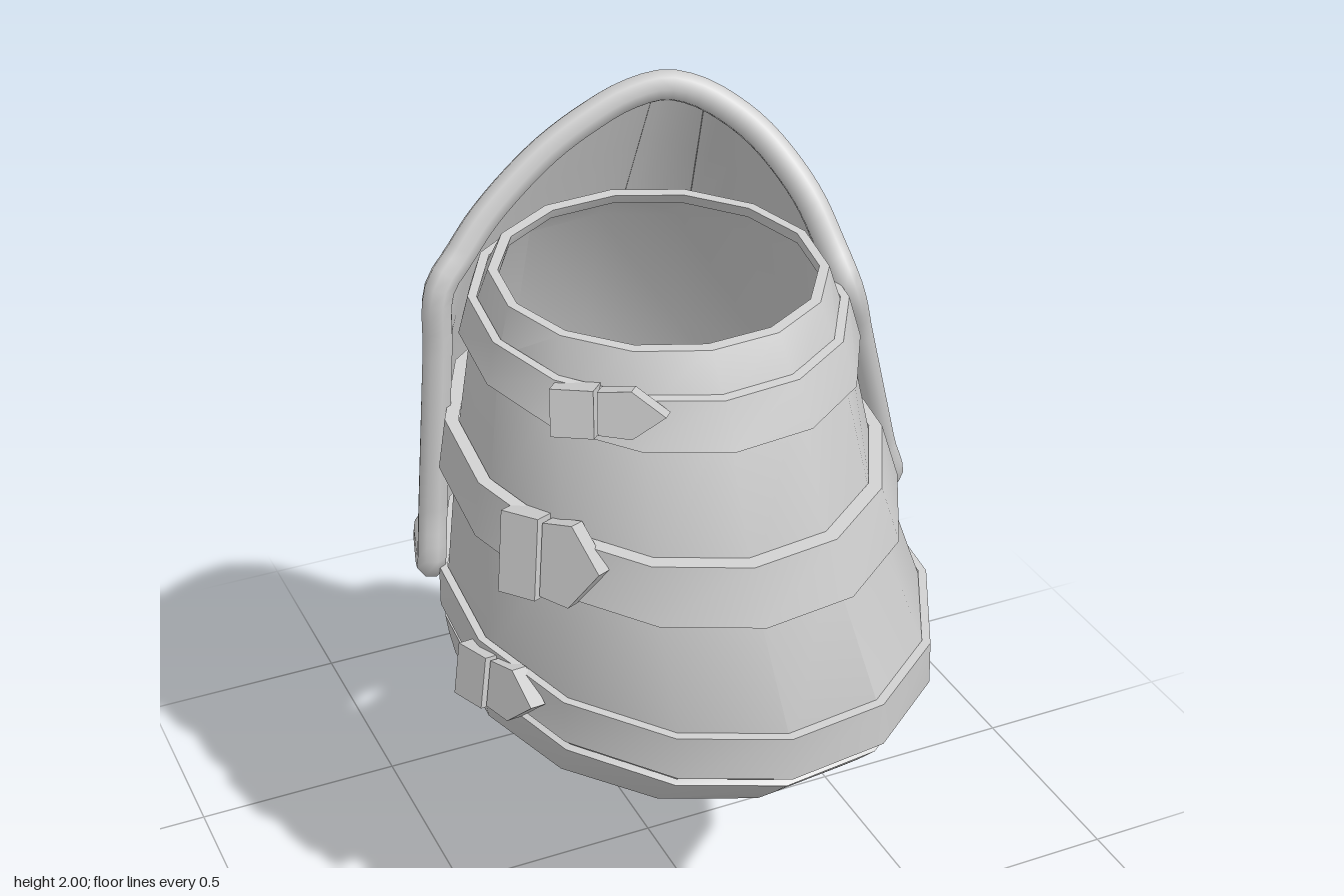
import * as THREE from 'three';
import { toCreasedNormals } from 'three/addons/utils/BufferGeometryUtils.js';

const V = (x, y, z) => new THREE.Vector3(x, y, z);
const material = new THREE.MeshStandardMaterial({ color: 0xcccccc, side: THREE.DoubleSide });

function add(parent, name, geometry) {
  const mesh = new THREE.Mesh(geometry, material);
  mesh.name = name;
  parent.add(mesh);
  return mesh;
}

// Surface from P(u, v), optionally closed around u
function grid(P, nu, nv, closed = false) {
  const pos = [], idx = [], cols = closed ? nu : nu + 1;
  for (let j = 0; j <= nv; j++)
    for (let i = 0; i < cols; i++) pos.push(...P(i / nu, j / nv).toArray());
  for (let j = 0; j < nv; j++)
    for (let i = 0; i < nu; i++) {
      const a = j * cols + i, b = j * cols + (i + 1) % cols;
      idx.push(a, a + cols, b, b, a + cols, b + cols);
    }
  const g = new THREE.BufferGeometry();
  g.setAttribute('position', new THREE.Float32BufferAttribute(pos, 3));
  g.setIndex(idx);
  g.computeVertexNormals();
  return g;
}

// Row of a table at fractional index s, straight or smooth
function sample(rows, s, smooth = false) {
  const at = k => rows[Math.max(0, Math.min(rows.length - 1, k))];
  const i = Math.min(Math.floor(s), rows.length - 2), t = s - i;
  const [A, B, C, D] = [at(i - 1), at(i), at(i + 1), at(i + 2)];
  return B.map((b, k) => {
    const a = A[k], c = C[k], d = D[k];
    if (!smooth) return b + (c - b) * t;
    return 0.5 * (2 * b + (c - a) * t + (2 * a - 5 * b + 4 * c - d) * t * t + (3 * b - a - 3 * c + d) * t ** 3);
  });
}

// Sleeve rings: centre y, centre x, radius x, centre z, radius z, tilt
const RINGS = [
  [1.69, -0.085, 0.345, 0.245, 0.25, 0.28],
  [1.585, -0.08, 0.375, 0.235, 0.32, 0.26],
  [1.25, -0.06, 0.43, 0.225, 0.425, 0.25],
  [0.87, -0.005, 0.51, 0.22, 0.53, 0.19],
  [0.79, -0.01, 0.495, 0.215, 0.52, 0.19],
  [0.655, -0.03, 0.455, 0.175, 0.45, 0.19],
];
// The left side sits further forward than the right
const SKEW = 0.16;
function onSleeve(s, angle, off = 0) {
  const [cy, cx, rx, cz, rz, tilt] = sample(RINGS, s);
  const dx = (rx + off) * Math.sin(angle), dz = (rz + off) * Math.cos(angle);
  return V(cx + dx, cy - tilt * dz, cz + dz + SKEW * dx);
}
// Loops around the sleeve from [ring index, outward offset] pairs
function sleeveLoft(profile, sides = 14) {
  const g = grid((u, v) => {
    const [s, off] = profile[Math.round(v * (profile.length - 1))];
    return onSleeve(s, u * Math.PI * 2, off);
  }, sides, profile.length - 1, true);
  return toCreasedNormals(g, 0.55);
}

function buildSleeve(root) {
  const sleeve = new THREE.Group();
  sleeve.name = 'sleeve';
  root.add(sleeve);
  add(sleeve, 'sleeveShell', sleeveLoft([[0.25, -0.025], [0, -0.02], [0, 0], [1, 0], [2, 0], [3, 0], [4, 0], [5, 0]]));
  add(sleeve, 'bottomHem', sleeveLoft([[4.05, 0.002], [4.1, 0.018], [4.5, 0.016], [4.95, 0.01], [5, 0]]));
  const bands = [[0.67, 1.17, 0.02], [1.83, 2.18, 0.03], [2.88, 3.75, 0.02]];
  for (const [a, b, off] of bands)
    add(sleeve, 'strapBand', sleeveLoft([[a, 0.002], [a, off], [b, off + 0.003], [b, 0.002]]));

  // Buckles with pointed strap ends: ring index, angle, height
  for (const [s, angle, h] of [[0.92, -0.62, 0.1], [2, -0.92, 0.18], [3.2, -1.22, 0.12]]) {
    const along = onSleeve(s, angle + 0.05).sub(onSleeve(s, angle - 0.05));
    const buckle = new THREE.Group();
    buckle.name = 'buckle';
    buckle.position.copy(onSleeve(s, angle, 0.022));
    buckle.rotation.set(-0.2, Math.atan2(-along.z, along.x), 0.06, 'YXZ');
    sleeve.add(buckle);
    const box = add(buckle, 'buckleFrame', new THREE.BoxGeometry(0.09, h, 0.06));
    box.position.x = -0.06;
    const tip = new THREE.Shape([[-0.01, -0.45], [0.06, -0.5], [0.13, 0], [0.06, 0.5], [-0.01, 0.45]].map(p => new THREE.Vector2(p[0], p[1] * h)));
    add(buckle, 'strapTip', new THREE.ExtrudeGeometry(tip, { depth: 0.04, bevelEnabled: false })).position.z = -0.02;
  }
}

function buildPlate(root) {
  const plate = new THREE.Group();
  plate.name = 'guardPlate';
  root.add(plate);
  const upper = new THREE.CatmullRomCurve3([
    V(-0.48, 1.61, 0), V(-0.35, 1.75, -0.035), V(-0.15, 1.895, -0.05), V(0.05, 1.967, -0.025),
    V(0.18, 1.91, 0.06), V(0.27, 1.78, 0.19), V(0.32, 1.59, 0.315)]);
  const lower = new THREE.CatmullRomCurve3([
    V(-0.53, 0.94, 0), V(-0.46, 0.91, -0.2), V(-0.28, 0.79, -0.36), V(-0.02, 0.735, -0.43),
    V(0.2, 0.73, -0.39), V(0.42, 0.84, -0.17), V(0.535, 0.99, 0.16)]);
  const P = (u, v, off = 0) => {
    const p = upper.getPoint(u).lerp(lower.getPoint(u), v);
    const out = V(p.x, 0, p.z - 0.25).normalize();
    return p.addScaledVector(out, 0.04 * Math.sin(Math.PI * v) * Math.sin(Math.PI * u) + off);
  };
  add(plate, 'plateShell', grid((u, v) => P(u, v), 24, 8));

  // Raised strip down the back, widening downward
  const strip = grid((u, v) => {
    const across = [0, 0.04, 0.5, 0.96, 1][Math.round(u * 4)];
    return P(0.48 + across * (0.11 + 0.08 * v), v, u === 0 || u === 1 ? -0.005 : 0.015);
  }, 4, 8);
  add(plate, 'backStrip', toCreasedNormals(strip, 0.6));

  // Rolled rim around the whole outline
  const edge = [], n = 14;
  for (let i = 0; i < n; i++) edge.push(P(i / n, 0));
  for (let i = 0; i < 5; i++) edge.push(P(1, i / 5));
  for (let i = 0; i < n; i++) edge.push(P(1 - i / n, 1));
  for (let i = 0; i < 5; i++) edge.push(P(0, 1 - i / 5));
  const path = new THREE.CatmullRomCurve3(edge, true, 'centripetal');
  add(plate, 'plateRim', new THREE.TubeGeometry(path, 140, 0.034, 8, true));
}

function buildOrnament(root) {
  const ornament = new THREE.Group();
  ornament.name = 'skullOrnament';
  ornament.position.set(0.07, 0, -0.5);
  ornament.rotation.y = -0.21;
  root.add(ornament);

  // Hanging flap, curved around the skull: height, half width, middle z
  const flap = [[0.76, 0.2, 0.02], [0.6, 0.31, -0.08], [0.45, 0.35, -0.12], [0.3, 0.345, -0.13],
    [0.13, 0.27, -0.135], [0.03, 0.16, -0.14], [0, 0.07, -0.145]];
  add(ornament, 'hangingFlap', grid((u, v) => {
    const [y, w, z] = sample(flap, v * 6), x = (u * 2 - 1) * w;
    return V(x, y, z + 1.45 * x * x);
  }, 6, 6));

  // Skull, snout upward: height, inner z, outer z, half width
  const skull = [[1.18, 0.15, 0.13, 0.005], [1.13, 0.18, 0.05, 0.06], [1.0, 0.19, -0.05, 0.1], [0.9, 0.18, -0.1, 0.14],
    [0.8, 0.15, -0.13, 0.185], [0.65, 0.1, -0.2, 0.21], [0.5, 0.04, -0.245, 0.2], [0.38, -0.02, -0.235, 0.155],
    [0.3, -0.06, -0.2, 0.1], [0.25, -0.12, -0.14, 0.005]];
  // Sockets and bumps: centre, radius, push
  const dents = [
    [V(0.13, 0.785, -0.07), 0.055, V(-0.07, -0.01, 0.07)],
    [V(0.065, 0.93, -0.06), 0.034, V(-0.015, 0, 0.06)],
    [V(0.19, 0.86, 0.06), 0.055, V(0.08, 0.02, 0.05)],
    [V(0.17, 0.69, -0.1), 0.05, V(0.02, 0, -0.02)],
    [V(0.12, 1.0, 0.08), 0.05, V(0.03, 0, 0)],
  ];
  add(ornament, 'skull', grid((u, v) => {
    const [y, zi, zo, w] = sample(skull, v * 9, true), a = u * Math.PI * 2;
    const p = V(w * Math.sin(a), y, (zi + zo) / 2 - (zi - zo) / 2 * Math.cos(a));
    const q = p.clone();
    for (const [c, r, push] of dents)
      for (const m of [1, -1]) {
        const k = Math.exp(-((p.x - m * c.x) ** 2 + (p.y - c.y) ** 2 + (p.z - c.z) ** 2) / (r * r));
        q.add(V(push.x * m * k, push.y * k, push.z * k));
      }
    return q;
  }, 48, 60, true));

  // Faceted gem on the brow
  const gem = add(ornament, 'gem', toCreasedNormals(new THREE.OctahedronGeometry(0.06), 0.1));
  gem.position.set(0, 0.55, -0.225);
  gem.scale.set(0.95, 1.1, 0.85);
  gem.rotation.x = 0.2;
}

export function createModel() {
  const root = new THREE.Group();
  root.name = 'armGuard';
  buildSleeve(root);
  buildPlate(root);
  buildOrnament(root);
  return root;
}
